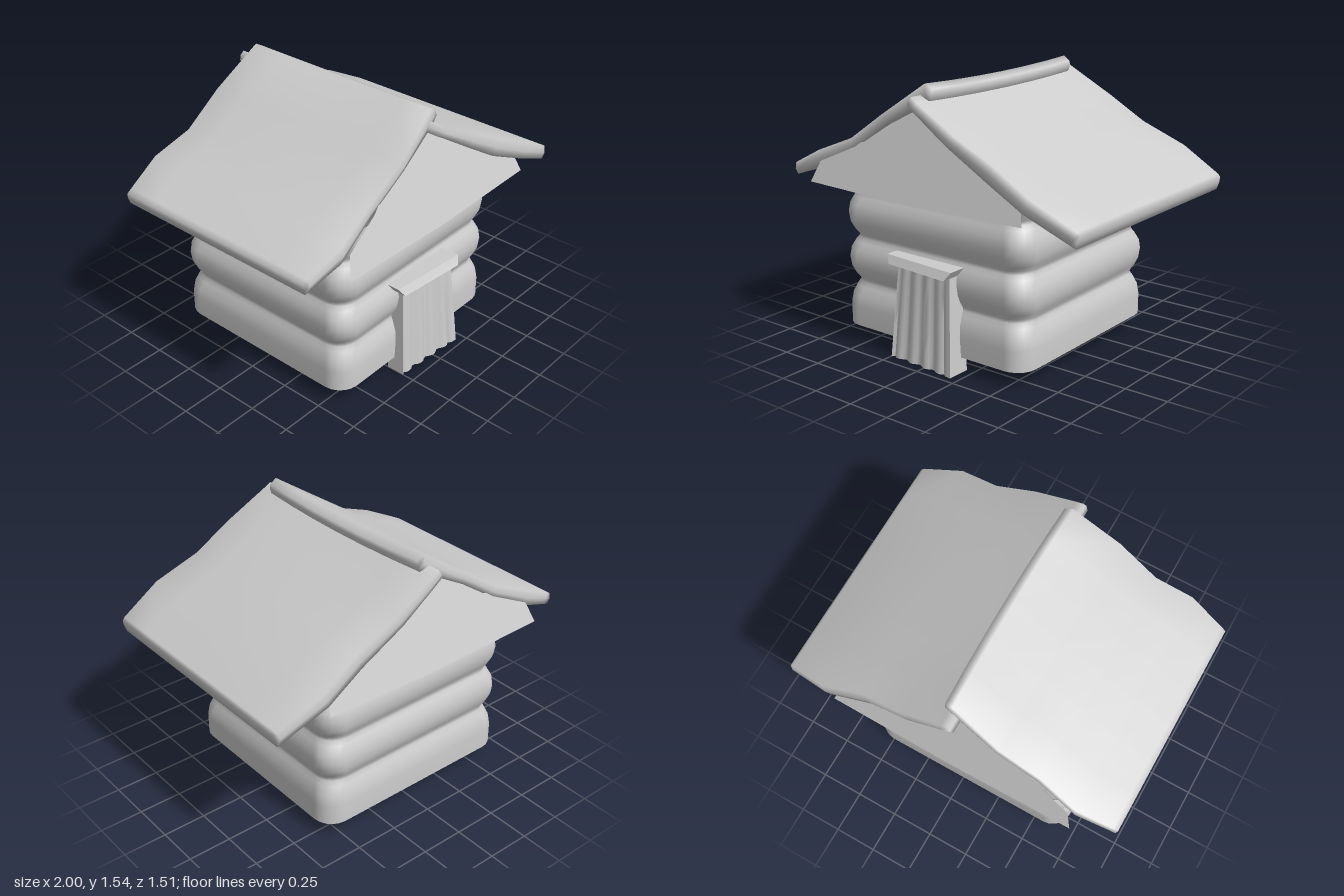
import * as THREE from 'three';
import { mergeVertices, toCreasedNormals } from 'three/addons/utils/BufferGeometryUtils.js';

// Box whose vertices (unit cube, -0.5..0.5) are moved by a rule
function shapedBox(segments, rule, crease) {
  let geo = new THREE.BoxGeometry(1, 1, 1, ...segments);
  geo.deleteAttribute('uv');
  geo.deleteAttribute('normal');
  geo = mergeVertices(geo);
  const p = geo.attributes.position;
  for (let i = 0; i < p.count; i++) p.setXYZ(i, ...rule(p.getX(i), p.getY(i), p.getZ(i)));
  geo.computeVertexNormals();
  return crease ? toCreasedNormals(geo, crease) : geo;
}

// Rounded rectangle ring in the ground plane
function roundedRing(hx, hz, r, steps = 5) {
  const pts = [];
  for (let c = 0; c < 4; c++) {
    const sx = c === 0 || c === 3 ? 1 : -1, sz = c < 2 ? 1 : -1;
    for (let s = 0; s <= steps; s++) {
      const a = (c + s / steps) * Math.PI / 2;
      pts.push([sx * (hx - r) + r * Math.cos(a), sz * (hz - r) + r * Math.sin(a)]);
    }
  }
  return pts;
}

function geometryFrom(pos, idx) {
  const geo = new THREE.BufferGeometry();
  geo.setAttribute('position', new THREE.Float32BufferAttribute(pos, 3));
  geo.setIndex(idx);
  geo.computeVertexNormals();
  return geo;
}

// Soft roof slab from stations along the slope:
// [topX, topY, bottomX, bottomY, halfDepth, rise at mid depth, shift in x at mid depth]
function roofSlab(stations) {
  const n = stations.length - 1;
  return shapedBox([n, 2, 6], (x, y, z) => {
    const [tx, ty, bx, by, hz, rise, bow] = stations[Math.round((x + 0.5) * n)];
    const t = y + 0.5, mid = 1 - 4 * z * z;
    const round = Math.abs(z) > 0.49 && Math.abs(y) > 0.1 ? 0.01 : 0;
    return [bx + (tx - bx) * t + bow * mid, by + (ty - by) * t + rise * mid, 2 * z * (hz - round)];
  });
}

export function createModel() {
  const group = new THREE.Group();
  const clay = new THREE.MeshStandardMaterial({ color: 0xcccccc, side: THREE.DoubleSide });
  clay.name = 'pale grey';
  const add = (name, geo) => {
    const mesh = new THREE.Mesh(geo, clay);
    mesh.name = name;
    group.add(mesh);
    return mesh;
  };

  // Walls: stacked bulging courses running up under the roof, [height, inset]
  const profile = [
    [0.085, 0], [0.2, 0], [0.26, 0.008], [0.31, 0.027], [0.335, 0.04], [0.355, 0.04],
    [0.385, 0.022], [0.43, 0.005], [0.48, 0], [0.53, 0.006], [0.575, 0.026], [0.598, 0.04],
    [0.618, 0.04], [0.645, 0.024], [0.69, 0.006], [0.745, 0], [0.795, 0.007], [0.84, 0.026],
    [0.865, 0.04], [0.885, 0.04], [0.94, 0.015], [1.0, 0.004], [1.06, 0.004],
  ];
  const pos = [], idx = [];
  let m = 0;
  profile.forEach(([y, d], i) => {
    const ring = roundedRing(0.644 - d, 0.612 - d, 0.12);
    m = ring.length;
    ring.forEach(([x, z], j) => {
      pos.push(x - 0.042, y, z);
      if (i === 0) return;
      const k = (j + 1) % m, lo = (i - 1) * m, hi = i * m;
      idx.push(lo + j, hi + j, lo + k, lo + k, hi + j, hi + k);
    });
  });
  add('walls', geometryFrom(pos, idx));

  // Floor closing the bottom
  const floorPos = [-0.042, 0.085, 0, ...pos.slice(0, m * 3)], floorIdx = [];
  for (let j = 0; j < m; j++) floorIdx.push(0, j + 1, (j + 1) % m + 1);
  add('floor', geometryFrom(floorPos, floorIdx));

  // Gable sheets at front and back, leaning in towards the ridge
  const outline = [[-0.77, 0.93], [-0.04, 0.915], [0.69, 0.93], [0.655, 1.035], [0.45, 1.15],
    [0.2, 1.29], [-0.04, 1.445], [-0.27, 1.315], [-0.5, 1.15], [-0.73, 1.045]];
  for (const side of [1, -1]) {
    const sheet = new THREE.ShapeGeometry(new THREE.Shape(outline.map(([x, y]) => new THREE.Vector2(x, y))));
    sheet.translate(0, -0.93, 0).rotateX(-0.38);
    sheet.scale(1, 1 / Math.cos(0.38), 1).translate(0, 0.93, 0.742);
    if (side < 0) sheet.rotateY(Math.PI).scale(-1, 1, 1);
    // mirroring flips the corner order, so turn it back
    if (side < 0) sheet.index.array.reverse();
    sheet.computeVertexNormals();
    add(side > 0 ? 'frontGable' : 'backGable', sheet);
  }

  // Two uneven roof slabs, the left one overlapping the ridge
  add('roofRight', roofSlab([
    [-0.04, 1.48, -0.07, 1.43, 0.715, 0, 0], [0.0, 1.455, -0.02, 1.4, 0.72, 0, 0],
    [0.25, 1.32, 0.2, 1.26, 0.732, 0.014, 0], [0.49, 1.195, 0.45, 1.105, 0.715, 0.025, 0],
    [0.74, 1.08, 0.7, 1.0, 0.756, 0.014, 0], [0.985, 0.955, 0.955, 0.88, 0.715, 0, 0],
    [1.0, 0.94, 0.98, 0.868, 0.71, 0, 0],
  ]));
  add('roofLeft', roofSlab([
    [-1.0, 0.985, -0.985, 0.92, 0.65, 0, 0], [-0.97, 1.0, -0.95, 0.932, 0.655, 0, 0],
    [-0.76, 1.1, -0.77, 1.005, 0.69, 0.01, 0], [-0.54, 1.19, -0.51, 1.135, 0.655, 0.02, 0],
    [-0.3, 1.35, -0.27, 1.3, 0.665, 0.01, 0], [-0.02, 1.54, 0.0, 1.445, 0.632, -0.014, 0.012],
    [0.025, 1.515, 0.02, 1.46, 0.625, -0.012, 0.016],
  ]));

  // Door of upright planks, splayed at the foot and set a little deeper on one side
  add('door', shapedBox([24, 6, 1], (x, y, z) => {
    const t = y + 0.5, u = x + 0.5;
    const left = -0.25 + 0.03 * t, right = 0.2 - 0.035 * t;
    const fold = u > 0.02 && u < 0.9 ? 0.02 * Math.pow(Math.abs(Math.cos(u * Math.PI * 4.4)), 3) * (1 - 0.5 * t) : 0;
    return [left + (right - left) * u, 0.54 * t, z > 0 ? 0.71 - 0.045 * t - fold - 0.03 * (1 - u) : 0.57];
  }, 0.9));

  // Lintel board, wider along its top edge
  add('lintel', shapedBox([1, 1, 1], (x, y, z) => [
    -0.044 + x * (y > 0 ? 0.48 : 0.42),
    0.56 + y * 0.045,
    z > 0 ? (y > 0 ? 0.69 : 0.715) - 0.035 * (0.5 - x) : 0.56,
  ], 0.3));

  return group;
}
